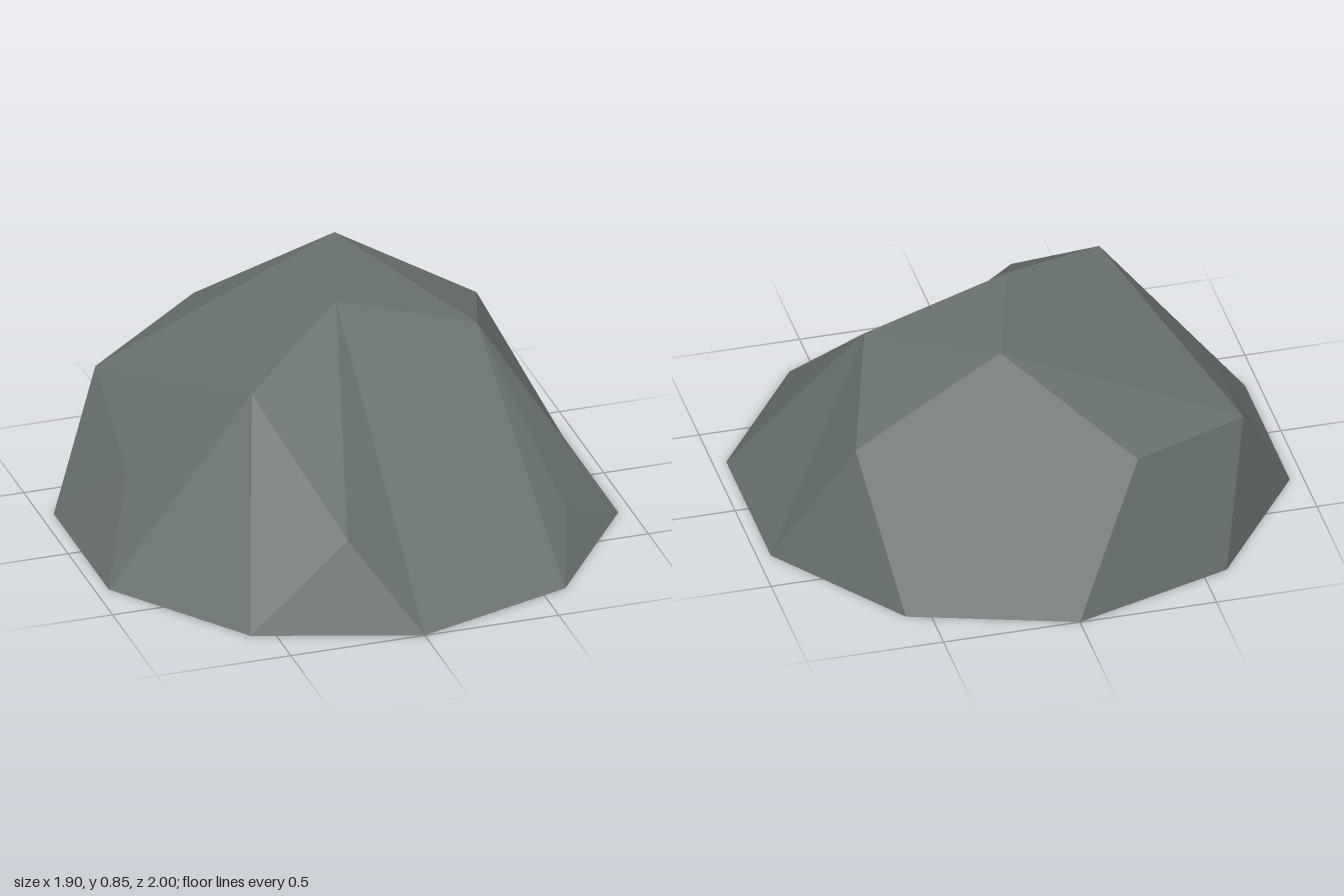
import * as THREE from 'three';

export function createModel() {
  const group = new THREE.Group();
  group.name = 'boulder';

  const stone = new THREE.MeshStandardMaterial({ color: 0x6a7370, flatShading: true });
  stone.name = 'grey stone';

  // Corners 0-9: ten-sided footprint, starting at the front and turning to the left (+x)
  const corners = [];
  for (let i = 0; i < 10; i++) {
    const a = (i * Math.PI) / 5;
    corners.push([Math.sin(a), 0, Math.cos(a)]);
  }

  // Corners 10-19: chipped crown and shoulders
  corners.push(
    [0, 0.845, 0],          // 10 summit
    [0.16, 0.85, -0.5],     // 11 back summit
    [-0.263, 0.526, -0.81], // 12 back shoulder
    [-0.724, 0.447, -0.526],// 13 back right shoulder
    [-0.78, 0.28, 0],       // 14 right shoulder
    [-0.415, 0.69, 0.305],  // 15 front right crown
    [-0.225, 0.32, 0.81],   // 16 front right shoulder
    [0.526, 0.675, 0],      // 17 left crown
    [0.69, 0.526, -0.5],    // 18 back left shoulder
    [0.69, 0.16, 0.5],      // 19 front left chip
  );

  // Facets, counter-clockwise from outside
  const facets = [
    [10, 15, 16, 0, 1, 17], [17, 1, 19], [1, 2, 19],          // front
    [17, 19, 2, 3, 18], [18, 3, 4],                           // left
    [11, 18, 4, 5], [11, 5, 12], [12, 5, 6],                  // back
    [12, 6, 13], [13, 6, 7], [13, 7, 14], [14, 7, 8],         // back right
    [14, 8, 15], [15, 8, 9, 16], [16, 9, 0],                  // right
    [13, 15, 10, 11, 12], [13, 14, 15], [10, 17, 11], [17, 18, 11], // crown
    [9, 8, 7, 6, 5, 4, 3, 2, 1, 0],                           // underside
  ];

  // Fan each facet into separate triangles for hard edges
  const positions = [];
  for (const f of facets) {
    for (let i = 1; i < f.length - 1; i++) {
      positions.push(...corners[f[0]], ...corners[f[i]], ...corners[f[i + 1]]);
    }
  }
  const geometry = new THREE.BufferGeometry();
  geometry.setAttribute('position', new THREE.Float32BufferAttribute(positions, 3));
  geometry.computeVertexNormals();

  const rock = new THREE.Mesh(geometry, stone);
  rock.name = 'rock';
  group.add(rock);
  return group;
}
